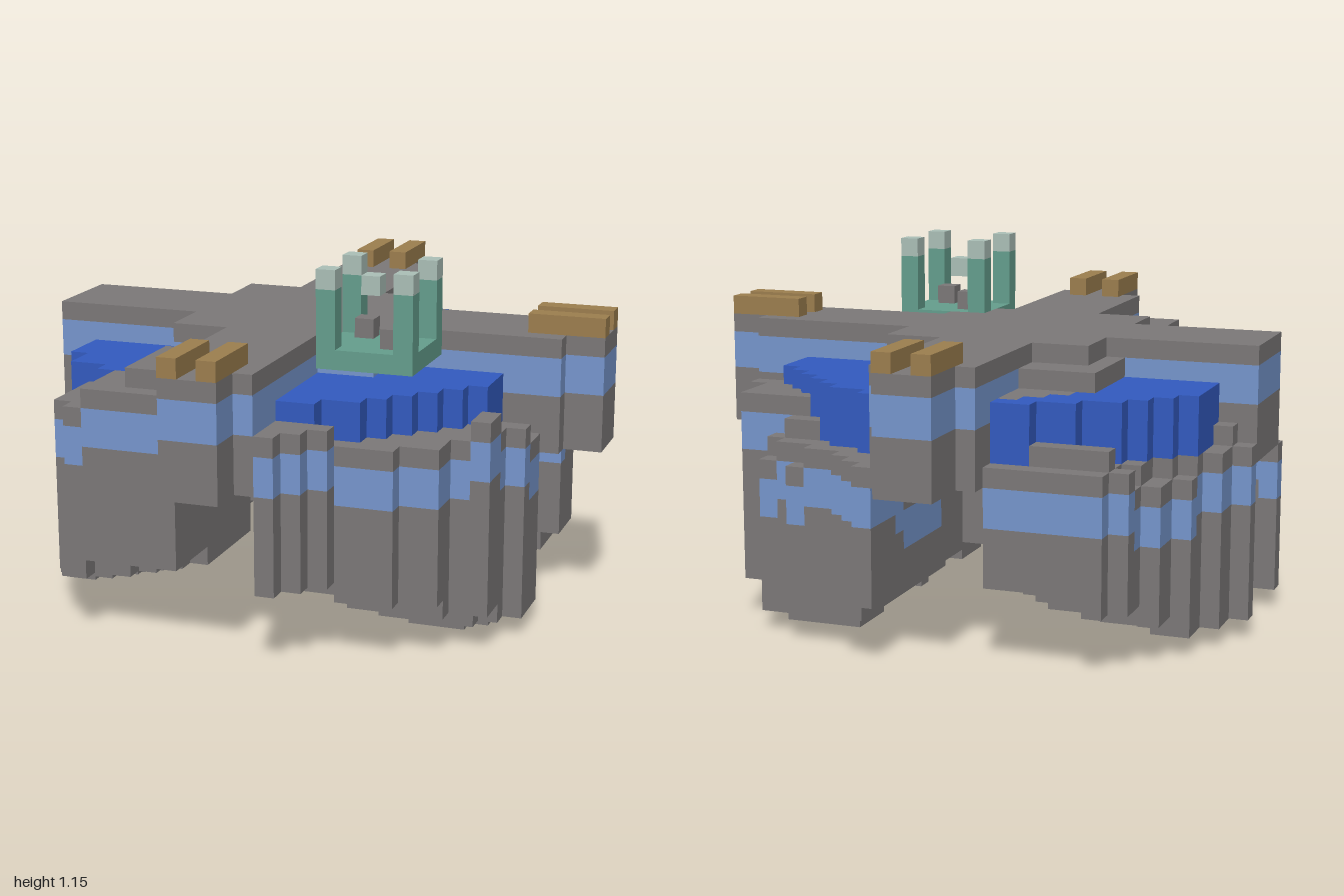
import * as THREE from 'three';

const U = 2 / 33; // size of one block; the grid is 30 wide and 33 deep
const { min, max, abs, round, floor, ceil, hypot } = Math;

const mat = (name, color) => {
  const m = new THREE.MeshStandardMaterial({ color });
  m.name = name;
  return m;
};

// Adds one face of a block, facing along an axis (side 1) or against it (side 0)
function addFace(mesh, p, axis, side) {
  const e = (axis + 1) % 3, f = (axis + 2) % 3;
  const v = mesh.pos.length / 3;
  for (let c = 0; c < 4; c++) {
    const q = [...p];
    q[axis] += side;
    q[e] += c === 1 || c === 2 ? 1 : 0;
    q[f] += c > 1 ? 1 : 0;
    mesh.pos.push((q[0] - 15) * U, q[1] * U, (q[2] - 16.5) * U);
    const n = [0, 0, 0];
    n[axis] = side ? 1 : -1;
    mesh.nor.push(...n);
  }
  if (side) mesh.idx.push(v, v + 1, v + 2, v, v + 2, v + 3);
  else mesh.idx.push(v, v + 2, v + 1, v, v + 3, v + 2);
}

export function createModel() {
  const stone = mat('stone', 0x7c7979);
  const band = mat('paleBlue', 0x7797ce);
  const water = mat('waterBlue', 0x335bc0);
  const wood = mat('wood', 0x9d7f4f);
  const green = mat('green', 0x659f8e);
  const pale = mat('paleGreen', 0xacc0b8);

  // Blocks are gathered on a grid so that buried faces can be left out
  const blocks = new Map();
  const key = (p) => p.join();
  const fill = (part, material, i0, i1, j0, j1, k0, k1) => {
    for (let i = i0; i < i1; i++)
      for (let j = j0; j < j1; j++)
        for (let k = k0; k < k1; k++) blocks.set(key([i, j, k]), { part, material, p: [i, j, k] });
  };
  // Ground: stone cap, two blocks of pale blue, stone below
  const ground = (part, i0, i1, k0, k1, bottom, top) => {
    fill(part, stone, i0, i1, bottom, top, k0, k1);
    fill(part, band, i0, i1, top - 3, top - 1, k0, k1);
  };

  // Island outlines and pools; a counts blocks outward in x, b outward in z
  const wideEdge = (b) => (b > 8 ? 12 - b : b > 7 ? 6 : b > 5 ? 8 : b > 2 ? 10 : 11);
  const slimEdge = (b) => 11 - ceil(b / 2);
  const widePool = (b) => [b < 3 ? 3 : 0, 9 - round((b * b) / 9.4)];
  const slimFoot = (a, b) => 1 + floor(hypot(0.35 * (a - 7.8), 0.4 * max(0, b - 2)));

  // One stepped island; rules give its edge, pool, surface and underside
  const island = (name, sx, sz, depth, edge, pool, top, bottom) => {
    for (let b = 0; b < depth; b++)
      for (let a = 0; a < edge(b); a++) {
        const i = sx > 0 ? 16 + a : 10 - a;
        const k = sz > 0 ? 19 + b : 13 - b;
        const [start, end] = pool(b);
        const low = bottom(a, b);
        if (a < 3 && b < 3) {
          fill(name, stone, i, i + 1, low, 9, k, k + 1); // solid foot under the deck
        } else if (a >= start && a < end) {
          const bed = 10 - min(2, floor((end - a) / 2));
          ground(name, i, i + 1, k, k + 1, low, bed);
          fill(name, water, i, i + 1, bed, 13, k, k + 1);
        } else {
          ground(name, i, i + 1, k, k + 1, low, top(a, b, start));
        }
      }
  };

  island('frontLeftIsland', 1, 1, 12, wideEdge, widePool,
    (a, b) => (b > 8 || (a === 9 && b > 3) ? 12 : b < 2 ? 10 : 11),
    (a, b) => min(4, floor(hypot(0.47 * (a - 6), 0.52 * max(0, b - 1)))));

  island('backLeftIsland', 1, -1, 12, wideEdge, widePool,
    (a, b) => {
      if (b < 6) return min(12, 10 + b);
      const inner = a < wideEdge(b) - 1 ? 1 : 0;
      return b > 8 ? 10 : (b === 6 ? 10 : 9) + inner;
    },
    (a, b) => max(b === 0 || (b > 5 && b < 9) ? 1 : 2, min(3, abs(a - 5) - 2)));

  island('frontRightIsland', -1, 1, 10, slimEdge,
    (b) => [b < 3 ? 3 : b - 1, b < 3 ? 9 : b < 5 ? 8 : b < 6 ? 6 : 0],
    (a, b) => (a < 3 && b < 9 ? 14 : 13 - round(max(0, a - 4) * 0.65)),
    slimFoot);

  island('backRightIsland', -1, -1, 10, slimEdge,
    (b) => [min(4, 8 - b), min(9, 12 - b, 18 - 2 * b)],
    (a, b, start) => {
      if (a < start) return b < 5 ? 14 : 13; // bank beside the cross
      const rim = b > 3 && b < 8 ? 9 : 10;
      return rim + (b < 9 && a < slimEdge(b) - 1 ? 1 : 0);
    },
    slimFoot);

  // Cross-shaped deck with a square middle and narrowed arm ends
  const deck = (i0, i1, k0, k1) => ground('crossDeck', i0, i1, k0, k1, 9, 15);
  deck(0, 28, 14, 19);
  deck(28, 30, 15, 18);
  deck(11, 16, 3, 30);
  deck(12, 16, 2, 31);
  deck(12, 15, 0, 33);
  deck(8, 19, 11, 22);

  // Pairs of wooden rails at three arm ends
  for (const n of [0, 2]) {
    fill('sideRails', wood, 26, 30, 15, 16, 15 + n, 16 + n);
    fill('backRails', wood, 12 + n, 13 + n, 15, 16, 0, 4);
    fill('frontRails', wood, 12 + n, 13 + n, 15, 16, 29, 33);
  }

  // Green pad with four pale-tipped posts, a small bracket and two stones
  fill('pad', green, 17, 22, 14, 15, 20, 25);
  for (const i of [17, 21])
    for (const k of [20, 24]) {
      fill('padPosts', green, i, i + 1, 15, 18, k, k + 1);
      fill('padPosts', pale, i, i + 1, 18, 19, k, k + 1);
    }
  fill('padPosts', pale, 18, 19, 17, 18, 20, 21);
  for (const n of [0, 2]) fill('padStones', stone, 18 + n, 19 + n, 15, 16, 21 + n, 22 + n);

  // Collect the exposed faces by part and colour
  const meshes = new Map();
  for (const { part, material, p } of blocks.values()) {
    const id = part + '_' + material.name;
    if (!meshes.has(id)) meshes.set(id, { part, material, pos: [], nor: [], idx: [] });
    for (let axis = 0; axis < 3; axis++)
      for (const side of [0, 1]) {
        const next = [...p];
        next[axis] += side ? 1 : -1;
        if (!blocks.has(key(next))) addFace(meshes.get(id), p, axis, side);
      }
  }

  // One group per part, one mesh per colour
  const model = new THREE.Group();
  model.name = 'floatingIslands';
  const groups = {};
  for (const [id, { part, material, pos, nor, idx }] of meshes) {
    if (!idx.length) continue;
    if (!groups[part]) {
      groups[part] = new THREE.Group();
      groups[part].name = part;
      model.add(groups[part]);
    }
    const g = new THREE.BufferGeometry();
    g.setAttribute('position', new THREE.Float32BufferAttribute(pos, 3));
    g.setAttribute('normal', new THREE.Float32BufferAttribute(nor, 3));
    g.setIndex(idx);
    const mesh = new THREE.Mesh(g, material);
    mesh.name = id;
    groups[part].add(mesh);
  }
  return model;
}
